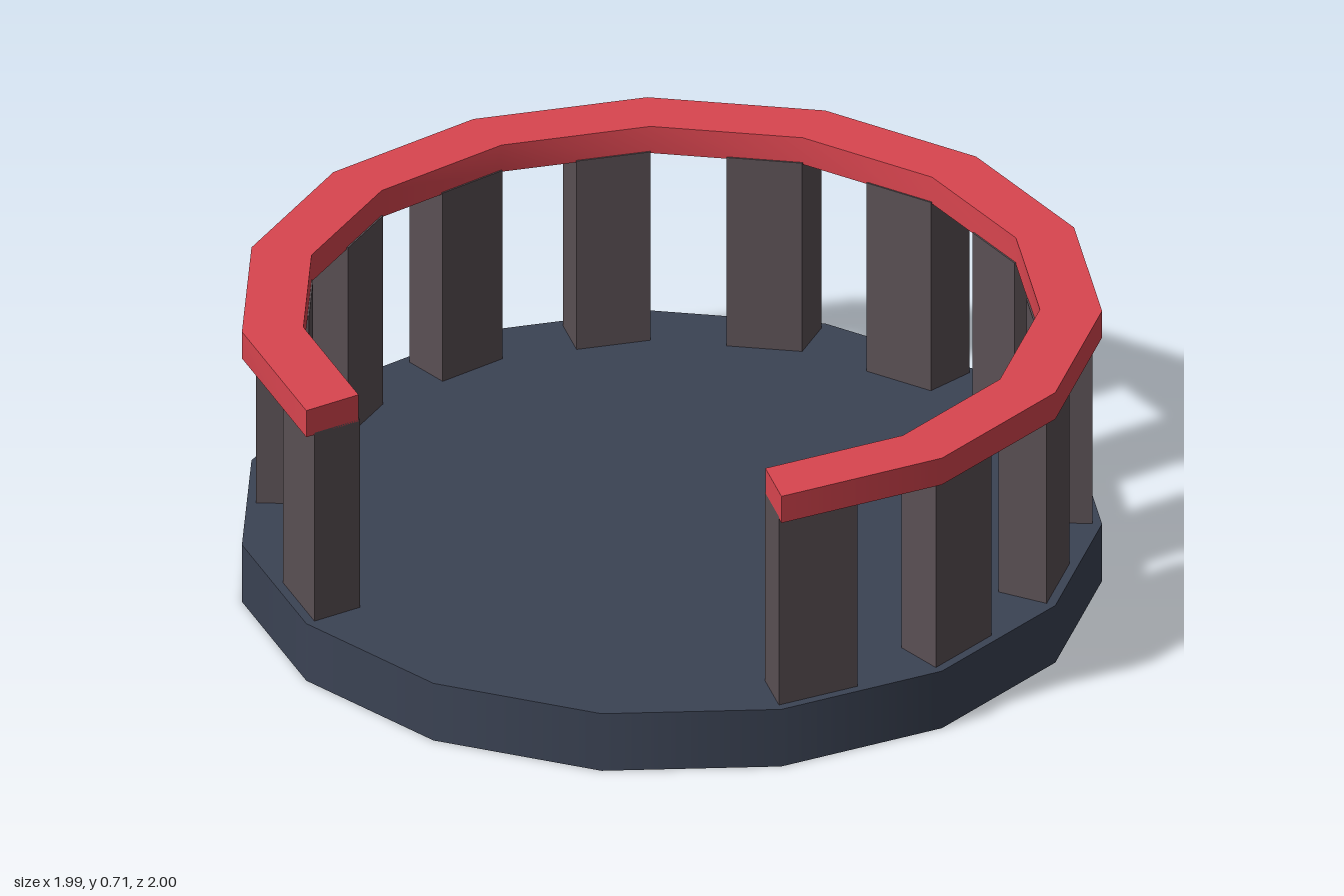
import * as THREE from 'three';
import { toCreasedNormals } from 'three/addons/utils/BufferGeometryUtils.js';

const SIDES = 15;
const HALF = Math.PI / SIDES; // half of one side, 12 degrees
const RADIUS = 1.0055;
const CENTRE_X = -0.011;

// Point on the 15-sided outline at half-step k (odd k lies mid-side)
function outlinePoint(radius, k) {
  const r = k % 2 === 0 ? radius : radius * Math.cos(HALF);
  return new THREE.Vector2(r * Math.cos(k * HALF), r * Math.sin(k * HALF));
}

// Piece of the ring between half-steps from and to
function ringPiece(inner, outer, from, to, step, bottom, top) {
  const points = [];
  for (let k = from; k <= to; k += step) points.push(outlinePoint(outer, k));
  for (let k = to; k >= from; k -= step) points.push(outlinePoint(inner, k));
  const geometry = new THREE.ExtrudeGeometry(new THREE.Shape(points), {
    depth: top - bottom, bevelEnabled: false,
  });
  geometry.rotateX(Math.PI / 2);
  geometry.translate(0, top, 0);
  return toCreasedNormals(geometry, 0.5);
}

export function createModel() {
  const slate = new THREE.MeshStandardMaterial({ color: 0x3b4354 });
  slate.name = 'slate blue';
  const brown = new THREE.MeshStandardMaterial({ color: 0x5a5054 });
  brown.name = 'grey brown';
  const red = new THREE.MeshStandardMaterial({ color: 0xd9454f });
  red.name = 'red';

  const model = new THREE.Group();
  model.name = 'roundBalcony';
  const add = (parent, name, geometry, material) => {
    const mesh = new THREE.Mesh(geometry, material);
    mesh.name = name;
    parent.add(mesh);
  };

  // Floor slab
  const slab = new THREE.CylinderGeometry(RADIUS, RADIUS, 0.15, SIDES, 1, false, Math.PI / 2);
  slab.translate(0, 0.075, 0);
  add(model, 'floor', slab, slate);

  // Posts: one on half of each side, and one closing the far end of the rail
  const posts = new THREE.Group();
  posts.name = 'posts';
  const starts = [10];
  for (let k = 3; k >= -17; k -= 2) starts.push(k);
  for (const k of starts) {
    add(posts, 'post', ringPiece(0.857, 0.983, k, k + 1, 1, 0.15, 0.645), brown);
  }
  model.add(posts);

  // Open handrail, three sides missing at the front
  add(model, 'handrail', ringPiece(0.861, RADIUS, 10, 34, 2, 0.64, 0.71), red);

  model.children.forEach((part) => { part.position.x = CENTRE_X; });
  return model;
}
